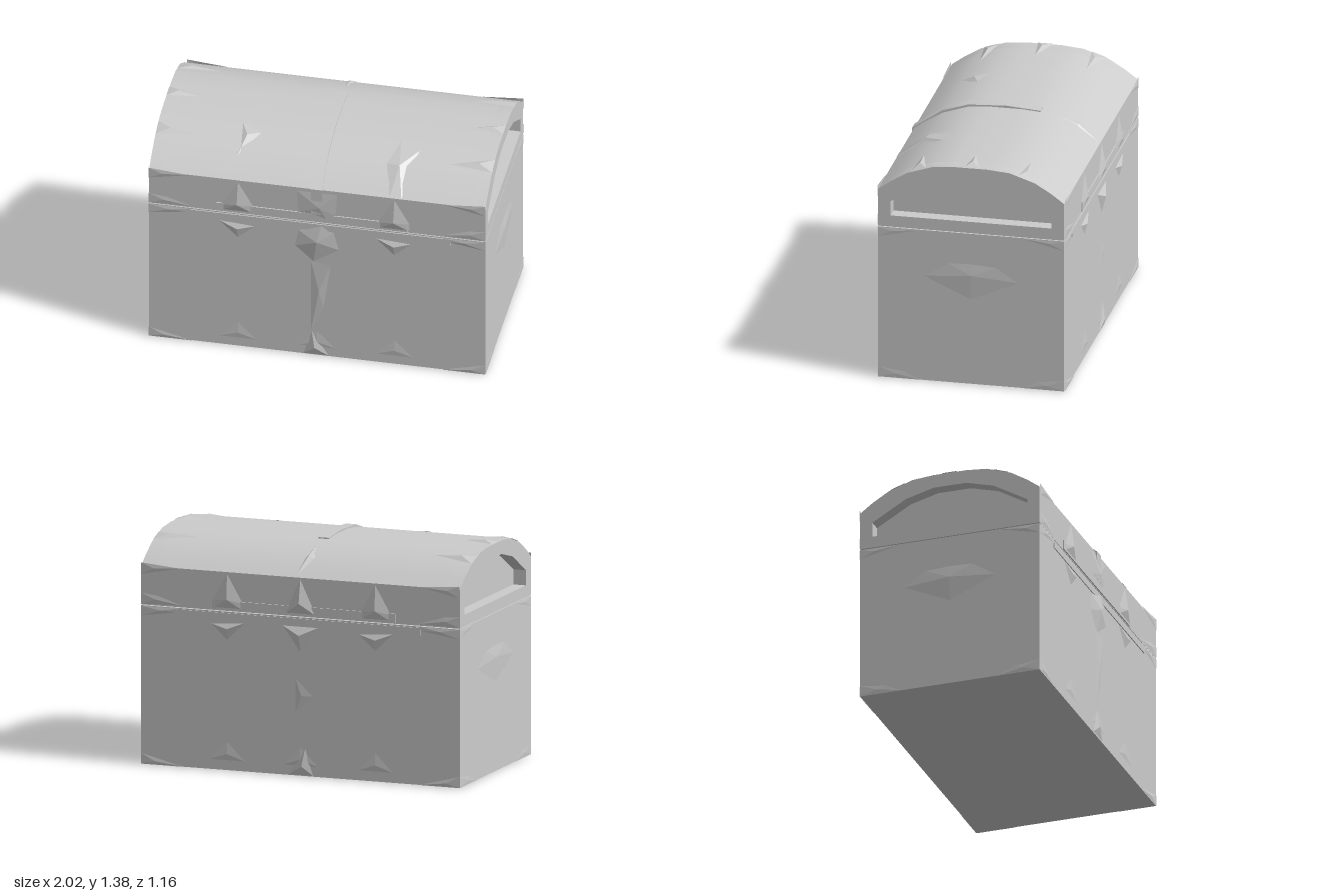
import * as THREE from 'three';
import { toCreasedNormals } from 'three/addons/utils/BufferGeometryUtils.js';

export function createModel() {
  const chest = new THREE.Group();
  chest.name = 'chest';
  const grey = new THREE.MeshStandardMaterial({ color: 0xcccccc, side: THREE.DoubleSide });
  grey.name = 'pale grey';

  const add = (name, geometry) => {
    const mesh = new THREE.Mesh(geometry, grey);
    mesh.name = name;
    chest.add(mesh);
    return mesh;
  };
  const box = (name, w, h, d, x, y, z) =>
    add(name, new THREE.BoxGeometry(w, h, d)).position.set(x, y, z);

  const X = 1, Z = 0.555;

  // Lid cross-section, as [z, y] from front to back
  const half = [[Z, 0.95], [Z, 1.18], [0.48, 1.235], [0.38, 1.295], [0.23, 1.345], [0.1, 1.356]];
  const mirrorZ = (pts) => [...pts, ...pts.slice().reverse().map(([z, y]) => [-z, y])];
  const profile = mirrorZ(half);
  const opening = mirrorZ([[0.48, 1.02], [0.48, 1.11], [0.27, 1.23], [0.1, 1.275]]);
  const lidY = (z) => {
    const a = Math.min(Math.abs(z), Z);
    for (let i = half.length - 1; i > 1; i--) {
      const [z0, y0] = half[i], [z1, y1] = half[i - 1];
      if (a <= z1) return y0 + (y1 - y0) * Math.max(0, (a - z0) / (z1 - z0));
    }
    return 1.18;
  };

  // Extrude a z-y outline along x
  const extrudeX = (name, pts, x0, x1, hole) => {
    const toPoints = (list) => list.map(([z, y]) => new THREE.Vector2(-z, y));
    const shape = new THREE.Shape(toPoints(pts));
    if (hole) shape.holes.push(new THREE.Path(toPoints(hole)));
    const g = new THREE.ExtrudeGeometry(shape, { depth: x1 - x0, bevelEnabled: false });
    g.rotateY(Math.PI / 2).translate(x0, 0, 0);
    return add(name, toCreasedNormals(g, 0.65));
  };

  // Faceted ornament: an outline raised to a shallow point over its middle
  const ornament = (name, pts, rise, place) => {
    const c = [0, 1].map((k) => pts.reduce((s, p) => s + p[k], 0) / pts.length);
    const tip = place(c[0], c[1], rise);
    const pos = [];
    pts.forEach((p, i) => {
      const q = pts[(i + 1) % pts.length];
      pos.push(...place(p[0], p[1], 0.004), ...place(q[0], q[1], 0.004), ...tip);
    });
    const g = new THREE.BufferGeometry();
    g.setAttribute('position', new THREE.Float32BufferAttribute(pos, 3));
    g.computeVertexNormals();
    return add(name, g);
  };
  const onZ = (s) => (x, y, h) => [x, y, s * (Z + h)];
  const onX = (s) => (z, y, h) => [s * (X + h * 0.5), y, z];
  const onLid = (x, z, h) => [x, lidY(z) + h, z];
  const onBase = (x, z, h) => [x, 0.004 - h * 0.2, z];

  // Body and domed lid with recessed ends
  box('body', 2 * X, 0.94, 2 * Z, 0, 0.475, 0);
  extrudeX('lid', profile, -0.92, 0.92);
  for (const s of [-1, 1]) {
    extrudeX('lidEndFrame', profile, s > 0 ? 0.92 : -X, s > 0 ? X : -0.92, opening);
  }

  // Rims and seam trim on front and back
  for (const s of [-1, 1]) {
    box('bodyRim', 1.55, 0.045, 0.012, 0.02, 0.915, s * Z);
    box('lidLip', 1.14, 0.055, 0.014, -0.03, 0.982, s * Z);

    // Pointed brackets above and below the seam, and along the foot
    for (const x of [-0.47, 0.46]) {
      ornament('seamBracketLower', [[x - 0.11, 0.885], [x + 0.1, 0.87], [x, 0.78]], 0.02, onZ(s));
      ornament('seamBracketUpper',
        [[x - 0.1, 0.96], [x + 0.09, 0.96], [x + 0.09, 1.01], [x, 1.17], [x - 0.1, 1.0]], 0.025, onZ(s));
    }
    for (const x of [-0.47, 0, 0.46]) {
      ornament('footTriangle', [[x - 0.11, 0.065], [x + 0.11, 0.065], [x, 0.175]], 0.008, onZ(s));
    }
    ornament('footSpike', [[-0.08, 0.01], [0.07, 0.01], [-0.03, 0.17]], 0.02, onZ(s));
  }

  // Front lock, hasp and straps
  ornament('lockPlate', [[-0.11, 0.88], [0.03, 0.94], [0.1, 0.885], [0.13, 0.77], [-0.02, 0.67], [-0.13, 0.77]],
    0.025, onZ(1));
  ornament('hasp', [[-0.11, 1.01], [0.07, 0.955], [0.11, 1.01], [0.12, 1.16], [-0.12, 1.16]], 0.015, onZ(1));
  ornament('bodyStrap', [[-0.035, 0.18], [0.04, 0.35], [0.08, 0.65], [-0.035, 0.67]], 0.012, onZ(1));
  extrudeX('lidStrap', [[-0.2, 1.34], [-0.2, 1.355], [0, 1.37], [0.23, 1.358], [0.385, 1.308],
    [0.565, 1.185], [0.565, 1.01], [0.5, 1.01], [0.5, 1.2], [0.3, 1.3]], -0.035, 0.03);
  ornament('lidStrapEnd', [[0.03, -0.55], [-0.035, -0.42], [0, -0.3], [0.02, -0.42]], 0.015, onLid);

  // Back details
  ornament('backBracket', [[-0.1, 0.96], [0.1, 0.96], [0, 1.17]], 0.03, onZ(-1));
  ornament('backBracketLower', [[-0.11, 0.89], [0.11, 0.89], [0, 0.74]], 0.03, onZ(-1));
  ornament('backTriangle', [[0.03, 0.58], [0.03, 0.38], [-0.08, 0.48]], 0.008, onZ(-1));

  // Loose plates on the lid front
  ornament('lidTriangle', [[-0.51, 0.21], [-0.39, 0.27], [-0.5, 0.43]], 0.015, onLid);
  ornament('lidKite', [[0.43, 0.21], [0.55, 0.27], [0.5, Z], [0.43, Z], [0.38, 0.38]], 0.02, onLid);

  for (const s of [-1, 1]) {
    // End handle plates
    ornament('handlePlate',
      [[-0.28, 0.66], [-0.15, 0.745], [0, 0.755], [0.14, 0.75], [0.28, 0.66], [0, 0.535]], 0.02, onX(s));

    // Spikes pointing inward from the lid ends
    for (const z of [-0.32, 0, 0.32]) {
      ornament('lidSpike', [[s, z - 0.05], [s, z + 0.04], [s * (z ? 0.75 : 0.8), z + 0.015]], 0.02, onLid);
    }

    // Corner caps on the front, back, ends and base
    for (const t of [-1, 1]) {
      ornament('lidEdgeSpike', [[s, 1.13], [s, 1.2], [s * 0.76, 1.18]], 0.008, onZ(t));
      ornament('lidCornerSpike', [[s, 0.955], [s, 1.02], [s * 0.9, 1.01], [s * 0.74, 0.96]], 0.008, onZ(t));
      ornament('footCornerFront', [[s, 0.005], [s, 0.07], [s * 0.74, 0.005]], 0.008, onZ(t));
      ornament('rimCornerFront', [[s, 0.885], [s, 0.943], [s * 0.75, 0.943], [s * 0.76, 0.92]], 0.008, onZ(t));
      ornament('footCornerSide', [[t * Z, 0.005], [t * Z, 0.07], [t * 0.4, 0.05], [t * 0.3, 0.005]], 0.008, onX(s));
      ornament('rimCornerSide', [[t * Z, 0.885], [t * Z, 0.943], [t * 0.3, 0.943]], 0.008, onX(s));
      ornament('baseCorner', [[s, t * Z], [s * 0.76, t * Z], [s * 0.86, t * 0.42], [s, t * 0.32]], 0.02, onBase);
    }
  }
  return chest;
}
